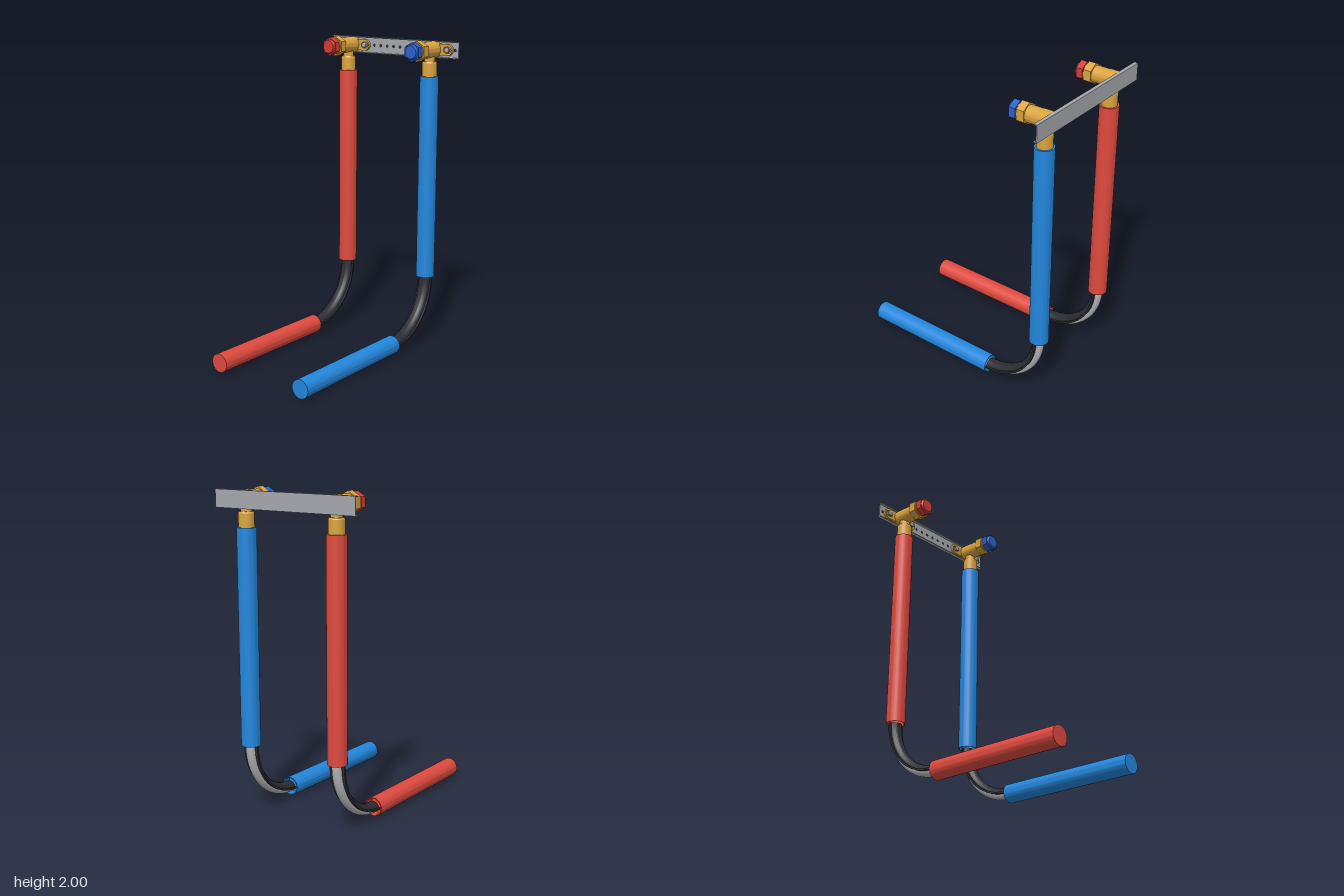
import * as THREE from 'three';
import { toCreasedNormals } from 'three/addons/utils/BufferGeometryUtils.js';

const mat = (name, color, side = THREE.FrontSide) => {
  const m = new THREE.MeshStandardMaterial({ color, side });
  m.name = name;
  return m;
};

const PIPE_Y = 0.062, PIPE_Z = -0.619, BEND_Y = 0.437, BEND_Z = -0.245, BEND_R = 0.375;
const AXIS_Y = 1.936;

export function createModel() {
  const brass = mat('brass', 0xdba53f);
  const steel = mat('railSteel', 0xa6a9ae);
  const black = mat('blackPlastic', 0x2c2c33, THREE.DoubleSide);
  const grey = mat('pipeGrey', 0xb4b5ba, THREE.DoubleSide);
  const hot = { sleeve: mat('sleeveRed', 0xdf4a3f), cap: mat('capRed', 0xd63c34) };
  const cold = { sleeve: mat('sleeveBlue', 0x2387dd), cap: mat('capBlue', 0x2862cf) };

  const root = new THREE.Group();
  root.name = 'pipeConnectionSet';

  const add = (parent, name, geo, material, x = 0, y = 0, z = 0) => {
    const mesh = new THREE.Mesh(geo, material);
    mesh.name = name;
    mesh.position.set(x, y, z);
    parent.add(mesh);
    return mesh;
  };
  const lathe = (pts, start = 0, sweep = Math.PI * 2) => toCreasedNormals(
    new THREE.LatheGeometry(pts.map(p => new THREE.Vector2(...p)), 48, start, sweep), 0.5);
  // Hexagonal prism along z, a corner pointing up
  const hex = (r, depth) => toCreasedNormals(
    new THREE.CylinderGeometry(r, r, depth, 6).rotateX(Math.PI / 2), 0.3);
  // Sleeve: hollow at its lower end, closed at the other
  const sleeve = len => lathe([[0, 0.06], [0.054, 0.06], [0.054, 0], [0.06, 0], [0.06, len], [0, len]]);
  // Quarter bend about the x axis for a given cross-section
  const bend = pts => lathe(pts, Math.PI, Math.PI / 2).rotateZ(Math.PI / 2);

  // Stadium outline used for the ear plate and its slots
  const stadium = (Type, cx, half, r) => {
    const s = new Type();
    s.absarc(cx + half, 0, r, -Math.PI / 2, Math.PI / 2, false);
    s.absarc(cx - half, 0, r, Math.PI / 2, Math.PI * 1.5, false);
    s.closePath();
    return s;
  };

  // Mounting rail: channel open to the front, with a row of holes
  const rail = new THREE.Group();
  rail.name = 'mountingRail';
  root.add(rail);
  add(rail, 'railWeb', new THREE.BoxGeometry(1, 0.108, 0.007), steel, 0, AXIS_Y, -0.6855);
  for (const s of [-1, 1])
    add(rail, 'railFlange', new THREE.BoxGeometry(1, 0.006, 0.024), steel, 0, AXIS_Y + s * 0.051, -0.677);
  for (const x of [-0.475, -0.156, -0.104, -0.052, 0, 0.052, 0.104, 0.156, 0.475])
    add(rail, 'railHole', new THREE.CircleGeometry(0.011, 20), black, x, AXIS_Y, -0.6815);

  const buildLine = (name, x, colors) => {
    const line = new THREE.Group();
    line.name = name;
    line.position.x = x;
    root.add(line);

    // Insulating sleeves
    add(line, 'riserSleeve', sleeve(1.33), colors.sleeve, 0, 0.44, PIPE_Z);
    add(line, 'floorSleeve', sleeve(0.93).rotateX(Math.PI / 2), colors.sleeve, 0, PIPE_Y, BEND_Z);

    // Bent pipe
    const ring = [];
    for (let i = 0; i <= 24; i++) {
      const a = i / 24 * Math.PI * 2;
      ring.push([BEND_R + 0.033 * Math.cos(a), 0.033 * Math.sin(a)]);
    }
    add(line, 'bentPipe', bend(ring), grey, 0, BEND_Y, BEND_Z);

    // Guide channel: half shell on the inside of the bend, with side flanges
    const shell = [[BEND_R + 0.004, 0.053], [BEND_R - 0.008, 0.053]];
    for (let i = 0; i <= 14; i++) {
      const a = Math.PI * (0.07 + 0.86 * i / 14);
      shell.push([BEND_R - 0.039 * Math.sin(a), 0.042 * Math.cos(a)]);
    }
    shell.push([BEND_R - 0.008, -0.053], [BEND_R + 0.004, -0.053], [BEND_R + 0.004, -0.034]);
    for (let i = 0; i <= 10; i++) {
      const a = Math.PI * (1 - i / 10);
      shell.push([BEND_R - 0.034 * Math.sin(a), 0.034 * Math.cos(a)]);
    }
    shell.push([BEND_R + 0.004, 0.034], [BEND_R + 0.004, 0.053]);
    add(line, 'guideChannel', bend(shell), black, 0, BEND_Y, BEND_Z);

    // Elbow fitting: collar and neck below, body running forward
    add(line, 'elbowCollar', lathe([[0, 1.76], [0.048, 1.76], [0.048, 1.853], [0.042, 1.863],
      [0.034, 1.863], [0.034, 1.93], [0, 1.93]]), brass, 0, 0, PIPE_Z);
    add(line, 'elbowBody', lathe([[0, -0.682], [0.053, -0.682], [0.053, -0.6], [0.051, -0.59],
      [0.051, -0.51], [0.045, -0.505], [0.045, -0.445], [0, -0.445]]).rotateX(Math.PI / 2),
      brass, 0, AXIS_Y, 0);
    add(line, 'elbowNut', hex(0.066, 0.05), brass, 0, AXIS_Y, -0.49);
    add(line, 'nutRim', lathe([[0.04, -0.466], [0.053, -0.466], [0.053, -0.458], [0.04, -0.458]])
      .rotateX(Math.PI / 2), brass, 0, AXIS_Y, 0);

    // Test plug
    add(line, 'plugHex', hex(0.06, 0.042), colors.cap, 0, AXIS_Y, -0.433);
    add(line, 'plugFace', lathe([[0, -0.42], [0.048, -0.42], [0.048, -0.411], [0.041, -0.399], [0, -0.399]])
      .rotateX(Math.PI / 2), colors.cap, 0, AXIS_Y, 0);

    // Ear plate with two slots, screwed to the rail
    const ear = stadium(THREE.Shape, 0, 0.1, 0.037);
    for (const s of [-1, 1]) ear.holes.push(stadium(THREE.Path, s * 0.1, 0.008, 0.02));
    add(line, 'earPlate', new THREE.ExtrudeGeometry(ear, { depth: 0.018, bevelEnabled: false, curveSegments: 20 }),
      brass, 0, AXIS_Y, -0.682);
    for (const s of [-1, 1])
      add(line, 'earScrew', lathe([[0, -0.682], [0.012, -0.682], [0.012, -0.662], [0.019, -0.662],
        [0.017, -0.654], [0.01, -0.65], [0, -0.65]]).rotateX(Math.PI / 2), steel, s * 0.1, AXIS_Y, 0);
  };

  buildLine('hotLine', -0.325, hot);
  buildLine('coldLine', 0.325, cold);
  return root;
}
